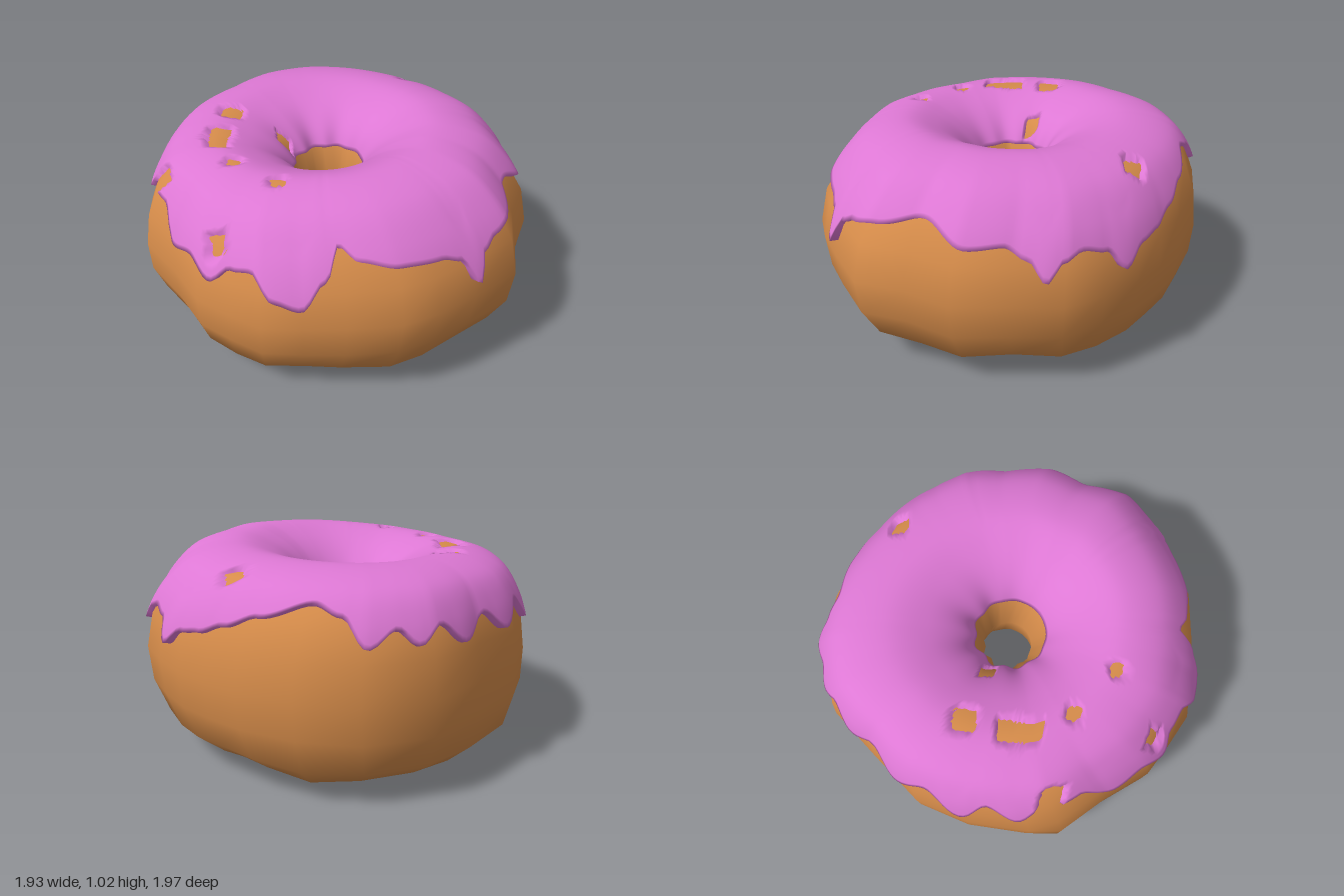
import * as THREE from 'three';

// Ring cross-section as (radius, height): outer middle, over the top, down the hole, back along the base
const section = new THREE.CatmullRomCurve3([
  [0.95, 0.5], [0.92, 0.67], [0.85, 0.82], [0.74, 0.935], [0.55, 0.985], [0.39, 0.94], [0.27, 0.86], [0.195, 0.76],
  [0.125, 0.54], [0.15, 0.33], [0.24, 0.17], [0.38, 0.05], [0.56, 0], [0.75, 0.05], [0.885, 0.16], [0.94, 0.33],
].map(([r, y]) => new THREE.Vector3(r, y, 0)), true);
const SIDES = 16;

// Uneven outer outline as [degrees, radius]
const outline = [
  [0, 0.955], [12, 0.955], [24, 0.975], [38, 0.94], [53, 0.975], [67, 0.94], [80, 1.01], [95, 0.955], [107, 0.95],
  [118, 0.95], [133, 0.925], [145, 0.93], [156, 0.965], [167, 0.95], [178, 0.96], [193, 0.935], [209, 1.01],
  [218, 0.99], [236, 0.98], [252, 0.985], [270, 0.96], [288, 1.03], [306, 1.035], [322, 1.0], [338, 0.965], [349, 0.95],
];

// Lower rim of the icing with its drips as [degrees, height]
const rim = [
  [0, 0.7], [6, 0.62], [12, 0.72], [20, 0.75], [25, 0.72], [29, 0.64], [34, 0.73], [41, 0.78], [50, 0.77], [64, 0.85],
  [78, 0.8], [86, 0.77], [91, 0.73], [95, 0.6], [99, 0.73], [105, 0.76], [117, 0.77], [128, 0.8], [133, 0.85],
  [138, 0.72], [145, 0.6], [152, 0.63], [158, 0.73], [165, 0.71], [172, 0.63], [180, 0.69], [191, 0.65], [200, 0.78],
  [212, 0.79], [220, 0.7], [228, 0.8], [237, 0.66], [247, 0.8], [258, 0.7], [267, 0.8], [277, 0.71], [286, 0.81],
  [292, 0.74], [298, 0.81], [305, 0.74], [312, 0.86], [320, 0.9], [335, 0.83], [345, 0.77], [353, 0.72],
];

// Bare spots in the icing as [x, z, half width, half depth]
const gaps = [
  [-0.49, -0.35, 0.07, 0.09], [-0.42, -0.42, 0.09, 0.08], [-0.25, -0.54, 0.085, 0.085], [-0.55, -0.15, 0.05, 0.06],
  [-0.53, 0.14, 0.05, 0.055], [-0.87, 0.1, 0.045, 0.065], [0.74, -0.16, 0.065, 0.075], [-0.77, -0.47, 0.06, 0.1],
  [-0.11, -0.29, 0.045, 0.06],
];

// Lookup around the circle, straight or eased between entries
function around(table, deg, ease = (k) => k) {
  const d = ((deg % 360) + 360) % 360;
  let i = table.length - 1;
  while (table[i][0] > d) i--;
  const [d0, v0] = table[i];
  const [d1, v1] = i + 1 < table.length ? table[i + 1] : [360, table[0][1]];
  return v0 + (v1 - v0) * ease((d - d0) / (d1 - d0));
}

// Point on the lumpy ring, pushed outward by offset
function ringPoint(deg, t, offset) {
  const a = THREE.MathUtils.degToRad(deg);
  const p = section.getPoint(t), d = section.getTangent(t);
  let r = p.x + d.y * offset;
  let y = p.y - d.x * offset;
  const w = THREE.MathUtils.clamp((r - 0.15) / 0.8, 0, 1.1);
  r *= 1 + (around(outline, deg) / 0.95 - 1) * w;
  // creases in the hole, stronger at the back
  r += Math.max(0, 1 - w * 3) * (0.006 - 0.006 * Math.sin(a)) * Math.sin(a * 9);
  // hole set towards the back, top and base leaning back from the middle
  const x = r * Math.cos(a) + (0.015 - 0.12 * (y - 0.54)) * (1 - w) + 0.02 * (y - 0.5) * w;
  const z = r * Math.sin(a) - 0.07 * (1 - w) - (y > 0.5 ? 0.38 : 0.27) * (y - 0.5) ** 2 * w;
  // sloping, gently rolling top and bumpy base
  y += Math.max(0, y) * (0.03 * x + 0.025 * z - 0.018 * Math.cos(a * 2) * w);
  y += Math.max(0, 1 - y * 3) * 0.022 * (1 - Math.sin(a * 7));
  return new THREE.Vector3(x, y, z);
}

// Smooth surface from a grid of points closed around the ring
function gridGeometry(columns, closedSection) {
  const n = columns.length, m = columns[0].length;
  const index = [];
  for (let i = 0; i < n; i++) {
    const k = (i + 1) % n;
    for (let j = 0; j < (closedSection ? m : m - 1); j++) {
      const l = (j + 1) % m;
      const a = i * m + j, b = i * m + l, c = k * m + l, d = k * m + j;
      index.push(a, b, d, b, c, d);
    }
  }
  const geometry = new THREE.BufferGeometry().setFromPoints(columns.flat());
  geometry.setIndex(index);
  geometry.computeVertexNormals();
  return geometry;
}

function buildDough() {
  const columns = outline.map(([deg]) =>
    Array.from({ length: SIDES }, (_, j) => ringPoint(deg, j / SIDES, 0)));
  return gridGeometry(columns, true);
}

function buildIcing() {
  const columns = [], N = 240, M = 44, THICK = 0.016, SUNK = -0.025, end = 7.05 / SIDES;
  const smooth = (k) => THREE.MathUtils.smoothstep(k, 0, 1);
  // icing dips under the dough at each bare spot
  const icingPoint = (deg, t, thick) => {
    const p = ringPoint(deg, t, thick);
    const near = Math.min(...gaps.map(([x, z, w, d]) => Math.abs(p.x - x) / w + Math.abs(p.z - z) / d));
    return near < 1 ? ringPoint(deg, t, thick + (SUNK - thick) * Math.min(1, (1 - near) * 5)) : p;
  };
  for (let i = 0; i < N; i++) {
    const deg = i * 360 / N;
    // find where the section reaches the rim height
    const target = around(rim, deg, smooth);
    let lo = 0, hi = 4 / SIDES;
    for (let k = 0; k < 18; k++) {
      const mid = (lo + hi) / 2;
      if (ringPoint(deg, mid, THICK).y < target) lo = mid; else hi = mid;
    }
    // low drips swell a little
    const swell = 0.1 * Math.max(0, 0.75 - target);
    const column = [ringPoint(deg, lo, -0.015)];
    for (let j = 0; j <= M; j++) {
      const thick = THICK + swell * Math.max(0, 1 - j / 10);
      column.push(icingPoint(deg, lo + (end - lo) * j / M, thick));
    }
    column.push(ringPoint(deg, end, -0.015));
    columns.push(column);
  }
  return gridGeometry(columns, false);
}

export function createModel() {
  const group = new THREE.Group();
  group.name = 'donut';
  const dough = new THREE.Mesh(buildDough(), new THREE.MeshStandardMaterial({ color: 0xd68c4a }));
  dough.name = 'dough';
  const icing = new THREE.Mesh(buildIcing(),
    new THREE.MeshStandardMaterial({ color: 0xdd78d4, side: THREE.DoubleSide }));
  icing.name = 'icing';
  group.add(dough, icing);
  return group;
}
